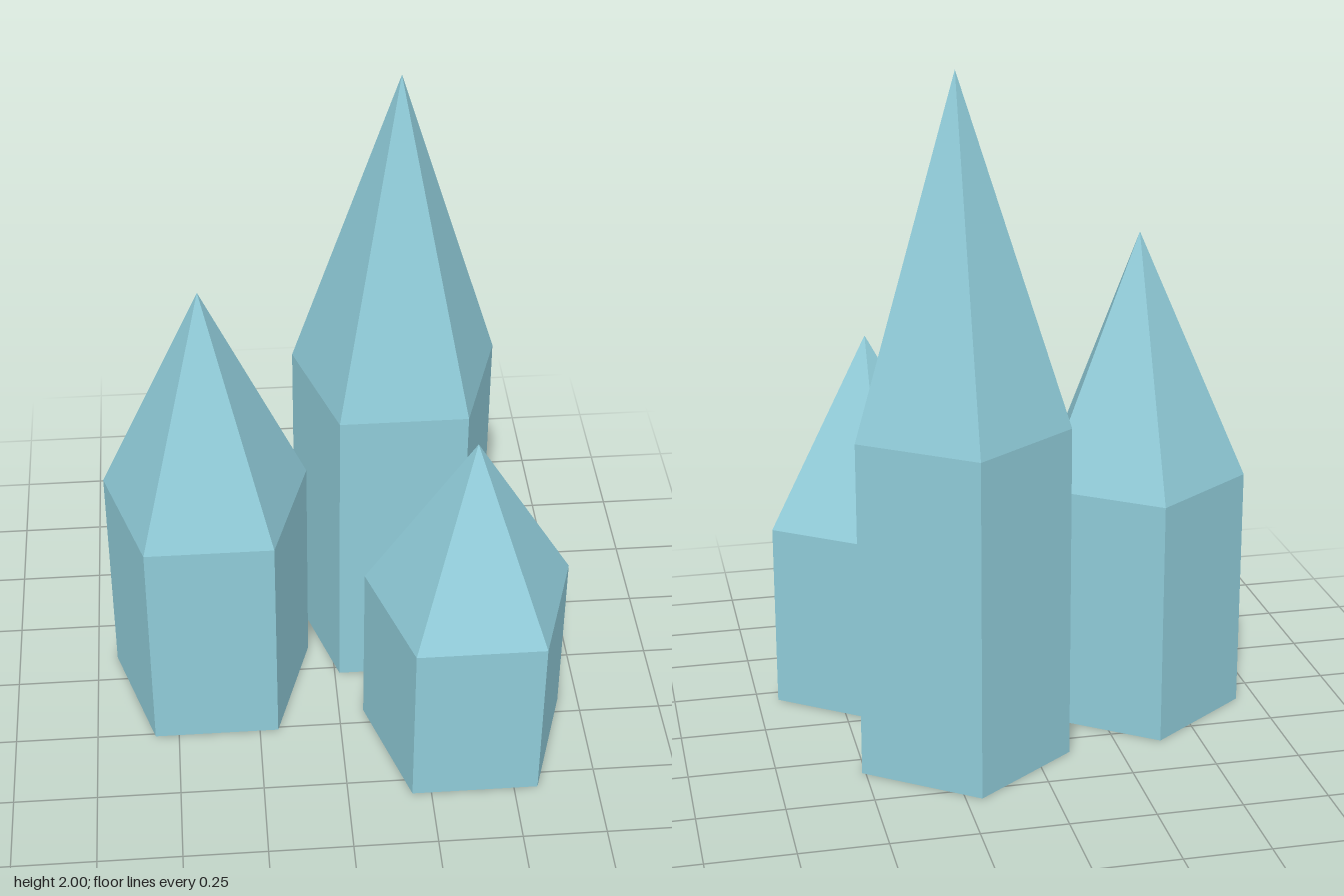
import * as THREE from 'three';

const SIDES = 5;
const RADIUS = 0.322;

// One crystal: a five-sided column with a pointed tip of equal height
function createCrystal(name, x, z, columnHeight, material) {
  const crystal = new THREE.Group();
  crystal.name = name;
  crystal.position.set(x, 0, z);

  // Starting at PI puts a corner at the back and a flat face at the front
  const column = new THREE.Mesh(
    new THREE.CylinderGeometry(RADIUS, RADIUS, columnHeight, SIDES, 1, false, Math.PI),
    material
  );
  column.name = 'column';
  column.position.y = columnHeight / 2;

  const tip = new THREE.Mesh(
    new THREE.ConeGeometry(RADIUS, columnHeight, SIDES, 1, true, Math.PI),
    material
  );
  tip.name = 'tip';
  tip.position.y = columnHeight * 1.5;

  crystal.add(column, tip);
  return crystal;
}

export function createModel() {
  const material = new THREE.MeshStandardMaterial({ color: 0x8fcbd8, flatShading: true });
  const model = new THREE.Group();
  model.name = 'crystalCluster';
  model.add(
    createCrystal('tallCrystal', 0.204, -0.235, 1.0, material),
    createCrystal('mediumCrystal', -0.383, 0, 0.735, material),
    createCrystal('smallCrystal', 0.382, 0.296, 0.56, material)
  );
  return model;
}
